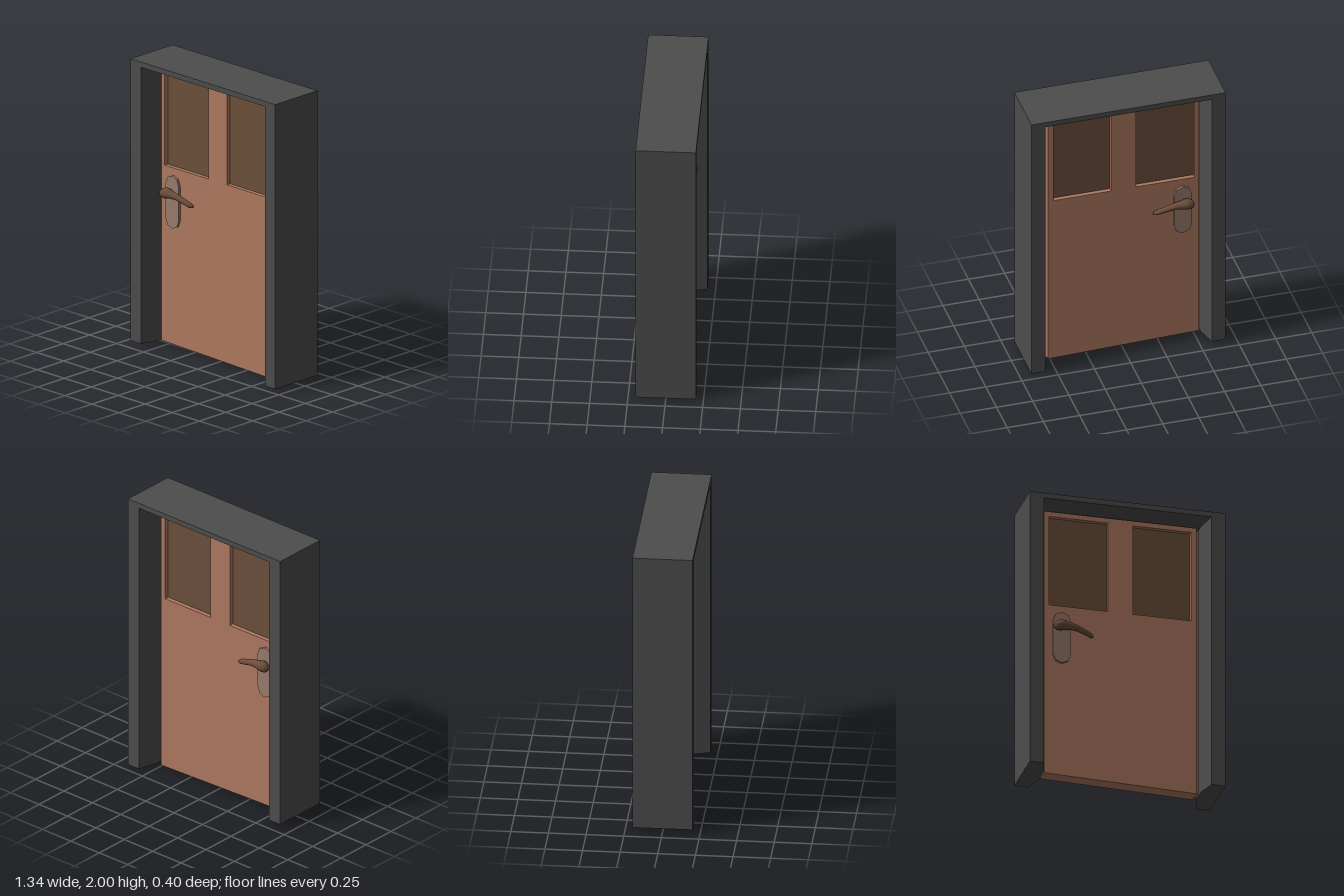
import * as THREE from 'three';

const mat = (color, extra = {}) => new THREE.MeshStandardMaterial({ color, ...extra });

// Lofts matching rings of points into one closed, capped surface
function loft(rings, smooth) {
  const n = rings[0].length, index = [];
  for (let k = 0; k < rings.length - 1; k++) {
    for (let i = 0; i < n; i++) {
      const j = (i + 1) % n, a = k * n, b = a + n;
      index.push(a + i, a + j, b + j, a + i, b + j, b + i);
    }
  }
  const last = (rings.length - 1) * n;
  for (let i = 1; i < n - 1; i++) {
    index.push(0, i + 1, i, last, last + i, last + i + 1);
  }
  let geo = new THREE.BufferGeometry();
  geo.setAttribute('position', new THREE.Float32BufferAttribute(rings.flat(2), 3));
  geo.setIndex(index);
  if (!smooth) geo = geo.toNonIndexed();
  geo.computeVertexNormals();
  return geo;
}

const polygon = (pts) => new THREE.Shape(pts.map(([x, y]) => new THREE.Vector2(x, y)));

function extrude(shape, depth) {
  return new THREE.ExtrudeGeometry(shape, { depth, bevelEnabled: false });
}

export function createModel() {
  const group = new THREE.Group();
  const add = (name, geo, material, parent = group) => {
    const mesh = new THREE.Mesh(geo, material);
    mesh.name = name;
    parent.add(mesh);
    return mesh;
  };
  const frameMat = mat(0x4d4d4d);
  const doorMat = mat(0xb07a62);
  const paneMat = mat(0x6c503b);
  const plateMat = mat(0x9a7c6e);
  const leverMat = mat(0x6b4e38);

  // Mitred door frame: one section (inset, z) swept up, across and down
  const section = [[0, 0.2], [0.096, 0.2], [0.132, 0.07], [0.132, -0.07], [0.096, -0.2], [0, -0.2]];
  const station = (side, yOf) => section.map(([d, z]) => [side * (0.67 - d), yOf(d), z]);
  const head = (d) => 2 - d * 0.38;
  add('doorFrame', loft([
    station(-1, () => 0.03), station(-1, head), station(1, head), station(1, () => 0.01),
  ]), frameMat);

  // Door leaf with two panel openings
  const half = 0.05;
  const windows = [[-0.5, -0.095], [0.075, 0.475]];
  const [low, high] = [1.26, 1.905];
  const leaf = polygon([[-0.53, 0.03], [0.51, 0.002], [0.51, 1.94], [-0.53, 1.94]]);
  for (const [l, r] of windows) {
    leaf.holes.push(polygon([[l, low], [l, high], [r, high], [r, low]]));
  }
  add('doorLeaf', extrude(leaf, half * 2).translate(0, 0, -half), doorMat);

  // Pointed hinge edge of the leaf
  const edge = polygon([[0.51, -half], [0.54, 0], [0.51, half]]);
  add('hingeEdge', extrude(edge, 1.92).rotateX(-Math.PI / 2).translate(0, 0.008, 0), doorMat);

  // Recessed panels
  for (const [l, r] of windows) {
    const pane = new THREE.BoxGeometry(r - l, high - low, 0.04);
    add('recessedPanel', pane.translate((l + r) / 2, (low + high) / 2, 0), paneMat);
  }

  // Handle plate with faceted round ends
  const platePts = [];
  for (let i = 0; i < 10; i++) {
    const a = ((i % 5) / 4) * Math.PI + (i < 5 ? 0 : Math.PI);
    platePts.push([-0.415 + 0.061 * Math.cos(a), 1.025 + (i < 5 ? 0.12 : -0.12) + 0.065 * Math.sin(a)]);
  }

  // Lever: round section tapering along a gentle curve: x, y, z, radius
  const keys = [
    [-0.48, 1.088, 0.106, 0.012], [-0.465, 1.091, 0.107, 0.029], [-0.43, 1.096, 0.108, 0.037],
    [-0.39, 1.096, 0.108, 0.029], [-0.34, 1.09, 0.105, 0.023], [-0.28, 1.072, 0.098, 0.02],
    [-0.225, 1.053, 0.088, 0.017], [-0.205, 1.046, 0.084, 0.008],
  ];
  const path = new THREE.CatmullRomCurve3(keys.map(([x, y, z]) => new THREE.Vector3(x, y, z)));
  const radii = new THREE.SplineCurve(keys.map((k, i) => new THREE.Vector2(i, k[3])));
  const rings = [];
  for (let s = 0; s <= 21; s++) {
    const c = path.getPoint(s / 21), r = radii.getPoint(s / 21).y;
    const ring = [];
    for (let i = 0; i < 14; i++) {
      const a = (i / 14) * Math.PI * 2;
      ring.push([c.x, c.y + r * Math.cos(a), c.z + r * Math.sin(a)]);
    }
    rings.push(ring);
  }

  // Same handle set on both faces of the door
  for (const side of [1, -1]) {
    const handle = new THREE.Group();
    handle.name = side > 0 ? 'frontHandle' : 'backHandle';
    add('handlePlate', extrude(polygon(platePts), 0.025).translate(0, 0, 0.042), plateMat, handle);
    const spindle = new THREE.CylinderGeometry(0.02, 0.02, 0.06, 14).rotateX(Math.PI / 2);
    add('spindle', spindle.translate(-0.425, 1.095, 0.075), leverMat, handle);
    add('lever', loft(rings, true), leverMat, handle);
    handle.scale.z = side;
    group.add(handle);
  }
  return group;
}
